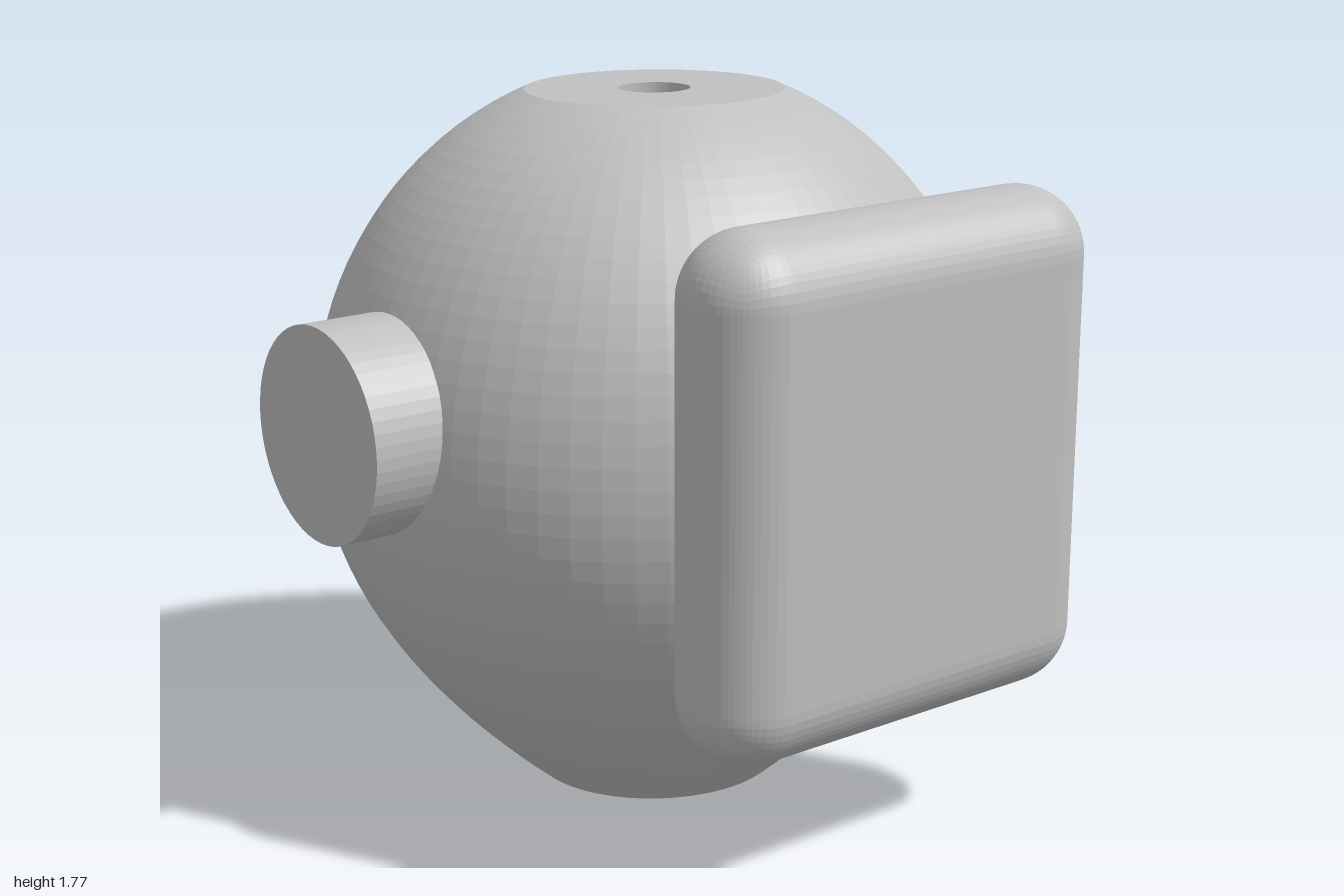
import * as THREE from 'three';
import { RoundedBoxGeometry } from 'three/addons/geometries/RoundedBoxGeometry.js';

export function createModel() {
  const grey = new THREE.MeshStandardMaterial({ color: 0xc0c0c0, flatShading: true });
  grey.name = 'grey';
  const model = new THREE.Group();
  const axisZ = -0.084;

  const add = (name, geometry, x, y, z) => {
    const mesh = new THREE.Mesh(geometry, grey);
    mesh.name = name;
    mesh.position.set(x, y, z);
    model.add(mesh);
    return mesh;
  };

  // Body profile: flat base, tapering lower curve, elliptical dome, flat top with a blind hole
  const height = 1.775, waistY = 0.93, waistR = 0.848, domeB = 0.911;
  const lower = new THREE.CubicBezierCurve(
    new THREE.Vector2(0.315, 0), new THREE.Vector2(0.6, 0.245),
    new THREE.Vector2(waistR, 0.55), new THREE.Vector2(waistR, waistY));
  const profile = [new THREE.Vector2(0, 0), ...lower.getSpacedPoints(20)];
  const domeEnd = Math.asin((height - waistY) / domeB);
  for (let i = 1; i <= 20; i++) {
    const a = domeEnd * i / 20;
    profile.push(new THREE.Vector2(waistR * Math.cos(a), waistY + domeB * Math.sin(a)));
  }
  const holeR = 0.088, holeFloor = height - 0.5;
  profile.push(new THREE.Vector2(holeR, height), new THREE.Vector2(holeR, holeFloor),
    new THREE.Vector2(0, holeFloor));
  const body = add('body', new THREE.LatheGeometry(profile, 72), 0, 0, axisZ);
  body.scale.x = 1.035;

  // Round side pegs
  for (const side of [1, -1]) {
    const peg = new THREE.CylinderGeometry(0.263, 0.263, 0.35, 56).rotateZ(Math.PI / 2);
    add(side > 0 ? 'leftPeg' : 'rightPeg', peg, side * 0.825, 1.052, axisZ);
  }

  // Rounded front panel
  add('frontPanel', new RoundedBoxGeometry(1.142, 1.24, 0.325, 7, 0.162), 0, 0.988, 0.773);

  return model;
}
